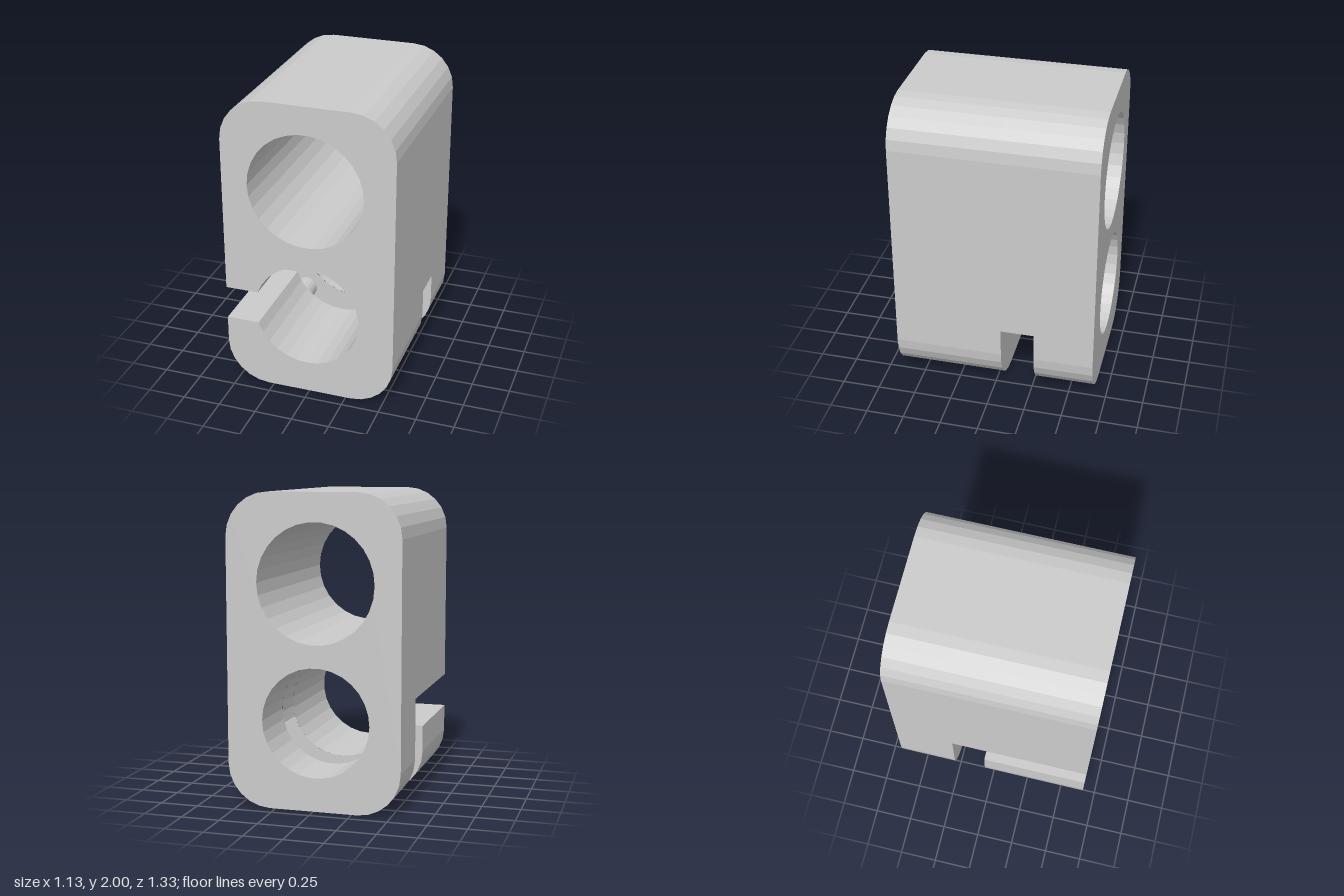
import * as THREE from 'three';
import { mergeGeometries } from 'three/addons/utils/BufferGeometryUtils.js';

const W = 0.565, R = 0.28, H = 2;              // half width, corner radius, height
const BACK = -0.665, SLOT0 = -0.27, SLOT1 = -0.05, FRONT = 0.665;
const SLOT_TOP = 0.47, SLIT0 = 0.455, SLIT1 = 0.68;
const CX = -0.015, UPPER = { y: 1.437, r: 0.38 }, LOWER = { y: 0.565, r: 0.35 };
const PIN = { x: -0.36, y: 0.215, r: 0.076 };
const PI = Math.PI;

// Points along an arc
function arc(x, y, r, a0, a1, n) {
  return Array.from({ length: n + 1 }, (_, i) => {
    const a = a0 + (a1 - a0) * i / n;
    return new THREE.Vector2(x + r * Math.cos(a), y + r * Math.sin(a));
  });
}
const circle = (x, y, r, n) => new THREE.Path(arc(x, y, r, 0, 2 * PI, n).slice(0, -1));
const corner = (sx, y, q) => arc(sx * (W - R), y, R, q * PI / 2, (q + 1) * PI / 2, 6);
const bottomCorners = () => [...corner(-1, R, 2), ...corner(1, R, 3)];
const topCorners = () => [...corner(1, H - R, 0), ...corner(-1, H - R, 1)];
const bore = (a0, a1) =>
  arc(CX, LOWER.y, LOWER.r, a0, a1, Math.max(2, Math.round(Math.abs(a1 - a0) / (2 * PI) * 30)));
const angleAt = y => Math.asin((y - LOWER.y) / LOWER.r);
const edge = (s, y) => new THREE.Vector2(s * W, y);

function withHoles(points, ...holes) {
  const shape = new THREE.Shape(points);
  shape.holes.push(...holes);
  return shape;
}
const upperBore = () => circle(CX, UPPER.y, UPPER.r, 30);

// Closed section with two bores
const fullSection = () => withHoles([...bottomCorners(), ...topCorners()],
  upperBore(), circle(CX, LOWER.y, LOWER.r, 30));

// Section whose lower bore is open to the side through the slit
const slitSection = () => withHoles([
  edge(-1, SLIT0), ...bottomCorners(), ...topCorners(), edge(-1, SLIT1),
  ...bore(PI - angleAt(SLIT1), -PI - angleAt(SLIT0))], upperBore());

// Section above the cross slot
const upperSection = () => withHoles([
  edge(1, SLOT_TOP), ...topCorners(), edge(-1, SLIT1),
  ...bore(PI - angleAt(SLIT1), angleAt(SLOT_TOP))], upperBore());

// U-shaped slot wall, its left arm ending at the given height
const slotWall = leftTop => withHoles([
  edge(-1, leftTop), ...bottomCorners(), edge(1, SLOT_TOP),
  ...bore(2 * PI + angleAt(SLOT_TOP), PI - angleAt(leftTop))],
  circle(PIN.x, PIN.y, PIN.r, 20));

// Extruded side walls without end faces
function walls(shape, z0, z1) {
  const g = new THREE.ExtrudeGeometry(shape, { depth: z1 - z0, bevelEnabled: false });
  const { start, count } = g.groups[1];
  const pos = g.attributes.position.array.slice(start * 3, (start + count) * 3);
  const out = new THREE.BufferGeometry();
  out.setAttribute('position', new THREE.BufferAttribute(pos, 3));
  return out.translate(0, 0, z0);
}

// Flat end face looking toward +z or -z
function face(shape, z, toBack) {
  const g = new THREE.ShapeGeometry(shape);
  if (toBack) g.index.array.reverse();
  const out = g.toNonIndexed().translate(0, 0, z);
  out.deleteAttribute('uv');
  out.deleteAttribute('normal');
  return out;
}

export function createModel() {
  const group = new THREE.Group();
  group.name = 'cableClip';
  const material = new THREE.MeshStandardMaterial({ color: 0xcccccc, flatShading: true });

  // Block: closed back, slotted middle, slit front
  const geometry = mergeGeometries([
    face(fullSection(), BACK, true),
    walls(fullSection(), BACK, SLOT0),
    face(slotWall(SLIT1), SLOT0, false),
    walls(upperSection(), SLOT0, SLOT1),
    face(slotWall(SLIT0), SLOT1, true),
    walls(slitSection(), SLOT1, FRONT),
    face(slitSection(), FRONT, false),
  ]);
  geometry.computeVertexNormals();
  const body = new THREE.Mesh(geometry, material);
  body.name = 'clipBody';
  group.add(body);

  // Pin bridging the cross slot
  const pin = new THREE.Mesh(
    new THREE.CylinderGeometry(PIN.r, PIN.r, SLOT1 - SLOT0, 20, 1, true).rotateX(PI / 2), material);
  pin.position.set(PIN.x, PIN.y, (SLOT0 + SLOT1) / 2);
  pin.name = 'hingePin';
  group.add(pin);
  return group;
}
